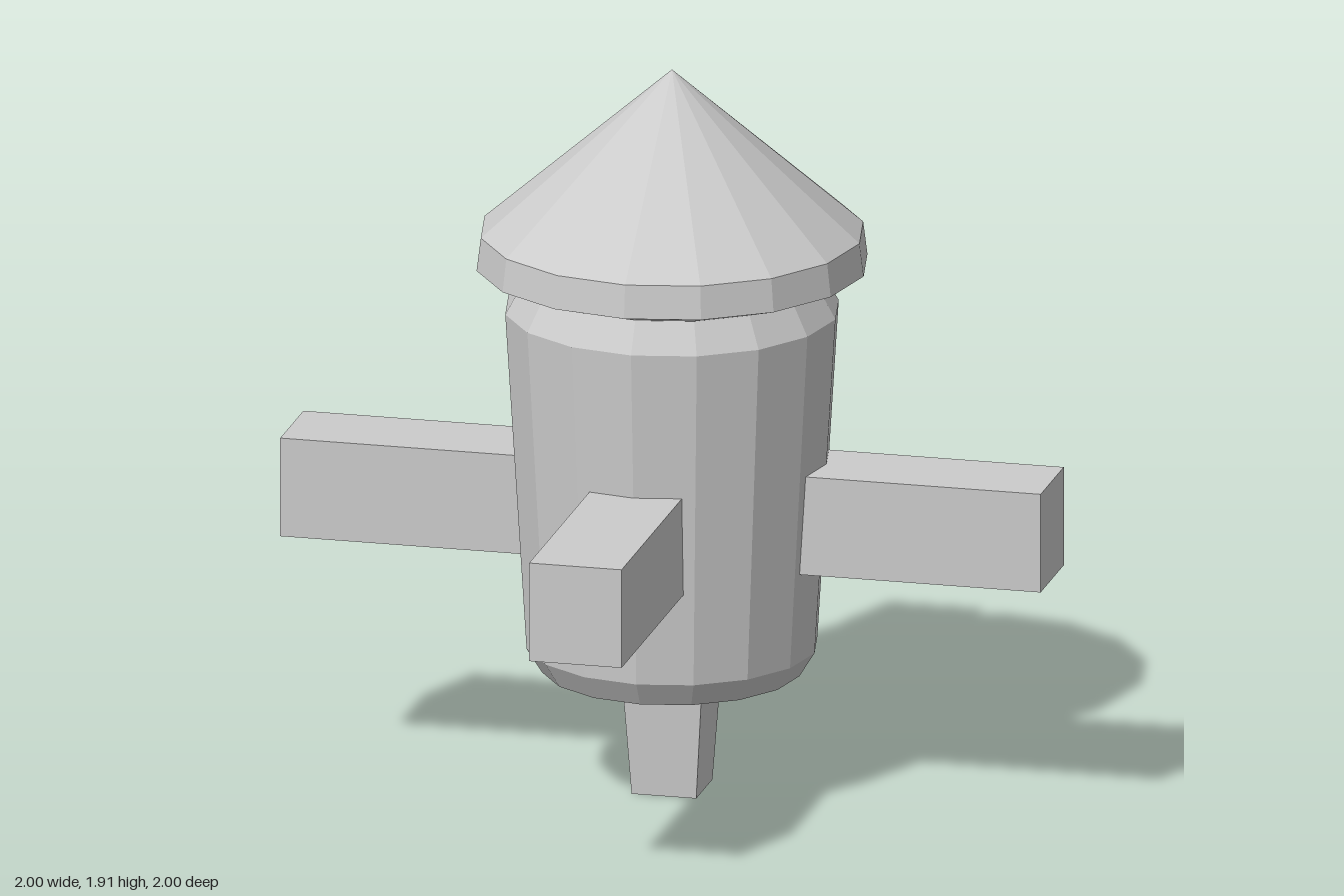
import * as THREE from 'three';

const SIDES = 16;
const CENTRE_Z = -0.014;

export function createModel() {
  const model = new THREE.Group();
  model.name = 'roofedPostLantern';
  const material = new THREE.MeshStandardMaterial({ color: 0xcccccc, flatShading: true });

  const add = (name, geometry, x = 0, y = 0, z = CENTRE_Z) => {
    const mesh = new THREE.Mesh(geometry, material);
    mesh.name = name;
    mesh.position.set(x, y, z);
    model.add(mesh);
    return mesh;
  };

  // Faceted turned shape from [radius, height] pairs, bottom to top
  const turned = (profile) =>
    new THREE.LatheGeometry(profile.map(([r, y]) => new THREE.Vector2(r, y)), SIDES);

  // Tapered body with bevelled bottom and shoulder
  add('body', turned([[0, 0.32], [0.335, 0.32], [0.375, 0.385], [0.43, 1.28], [0.385, 1.36], [0, 1.36]]));

  // Pointed roof with a shallow rim and sloping underside
  add('roof', turned([[0, 1.36], [0.385, 1.36], [0.504, 1.4], [0.493, 1.487], [0, 1.915]]));

  // Square post, narrowing towards the ground
  const post = new THREE.CylinderGeometry(0.107 * Math.SQRT2, 0.085 * Math.SQRT2, 0.34, 4);
  post.rotateY(Math.PI / 4);
  add('post', post, 0, 0.17);

  // Four arms reaching out from inside the body
  const inner = 0.3, width = 0.243, height = 0.262, armY = 0.761;
  for (const side of [1, -1]) {
    const middle = side * (1 + inner) / 2;
    add(side > 0 ? 'leftArm' : 'rightArm',
      new THREE.BoxGeometry(1 - inner, height, width), middle, armY);
    add(side > 0 ? 'frontArm' : 'backArm',
      new THREE.BoxGeometry(width, height, 1 - inner), 0, armY, middle);
  }

  return model;
}
